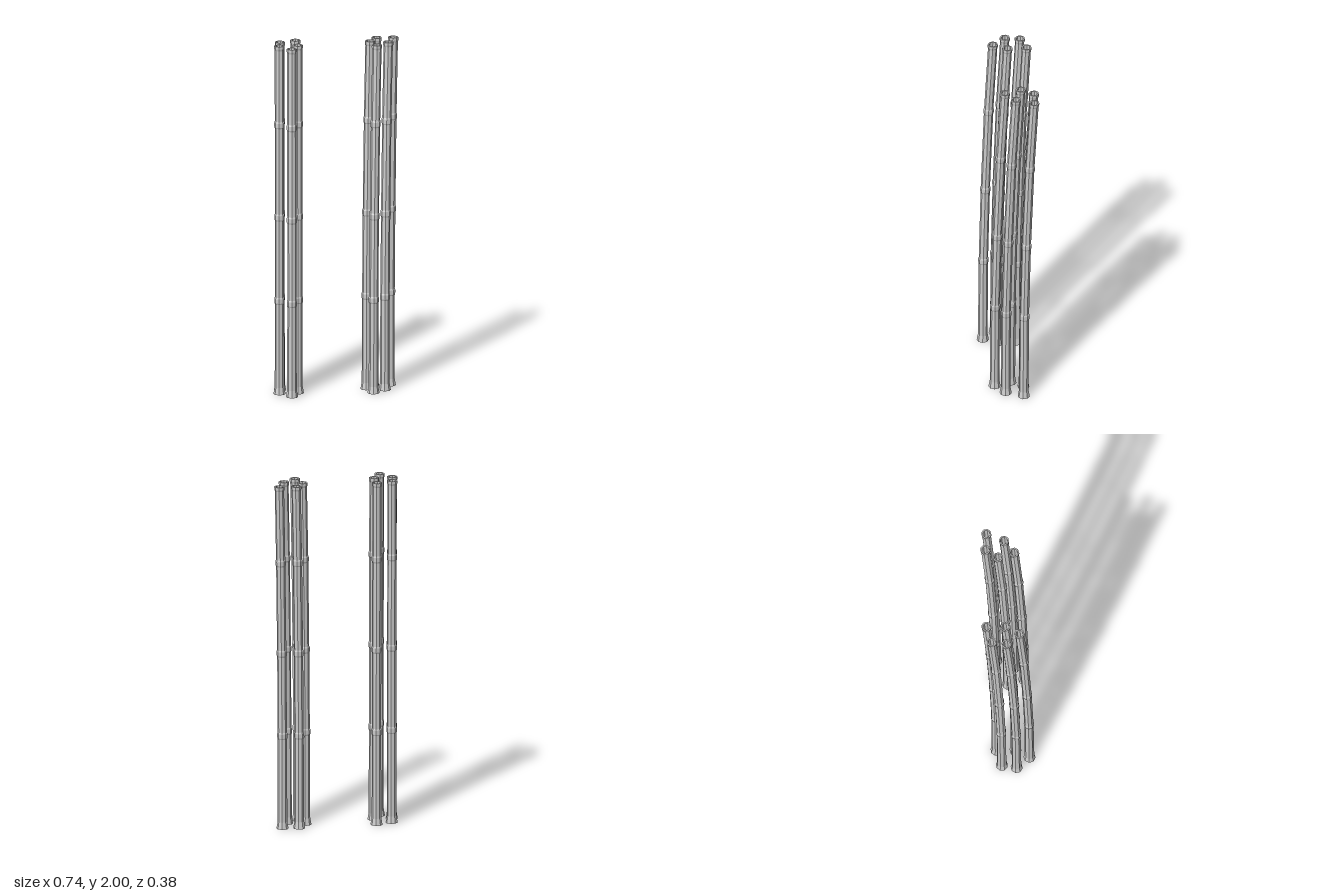
import * as THREE from 'three';

const material = new THREE.MeshStandardMaterial({ color: 0xcccccc, flatShading: true, side: THREE.DoubleSide });

// Bend of a stalk: share of the total lean reached at each joint height
const heights = [0, 0.54, 1.02, 1.55, 2];
const lean = [0, 0.06, 0.25, 0.58, 1];
function leanAt(y) {
  let i = 0;
  while (i < heights.length - 2 && y > heights[i + 1]) i++;
  const t = (y - heights[i]) / (heights[i + 1] - heights[i]);
  return THREE.MathUtils.lerp(lean[i], lean[i + 1], t);
}

// Hollow octagonal cane: flared foot, raised joints, lipped rim, inner wall
function stalkProfile() {
  const p = [[0, 0], [0.034, 0], [0.027, 0.04]];
  for (const y of heights.slice(1, 4)) {
    p.push([0.026, y - 0.02], [0.029, y - 0.012], [0.029, y + 0.012], [0.026, y + 0.02]);
  }
  p.push([0.026, 1.975], [0.029, 1.985], [0.029, 2], [0.021, 2]);
  for (const y of [1.55, 1.02, 0.54, 0.03]) p.push([0.021, y]);
  p.push([0, 0.03]);
  return p.map(([r, y]) => new THREE.Vector2(r, y));
}

function makeStalk(topX, topZ, dx, dz, turn) {
  const geometry = new THREE.LatheGeometry(stalkProfile(), 8);
  geometry.rotateY(turn);
  const pos = geometry.attributes.position;
  for (let i = 0; i < pos.count; i++) {
    const k = leanAt(pos.getY(i)) - 1;
    pos.setX(i, pos.getX(i) + topX + dx * k);
    pos.setZ(i, pos.getZ(i) + topZ + dz * k);
  }
  geometry.computeVertexNormals();
  const mesh = new THREE.Mesh(geometry, material);
  mesh.name = 'bambooStalk';
  return mesh;
}

// Two clumps: rim centres (x, z) and the lean shared by the clump
const clumps = [
  {
    name: 'rightClump', dx: 0.022, dz: -0.052,
    tops: [[-0.28, -0.162], [-0.185, -0.164], [-0.317, -0.087], [-0.216, -0.062], [-0.28, 0]],
  },
  {
    name: 'leftClump', dx: 0.042, dz: -0.046,
    tops: [[0.254, -0.033], [0.342, 0], [0.19, 0.02], [0.274, 0.082], [0.19, 0.115]],
  },
];

export function createModel() {
  const model = new THREE.Group();
  model.name = 'bamboo';
  for (const { name, dx, dz, tops } of clumps) {
    const clump = new THREE.Group();
    clump.name = name;
    tops.forEach(([x, z], i) => clump.add(makeStalk(x, z, dx, dz, 0.2 + i * 0.05)));
    model.add(clump);
  }
  return model;
}
